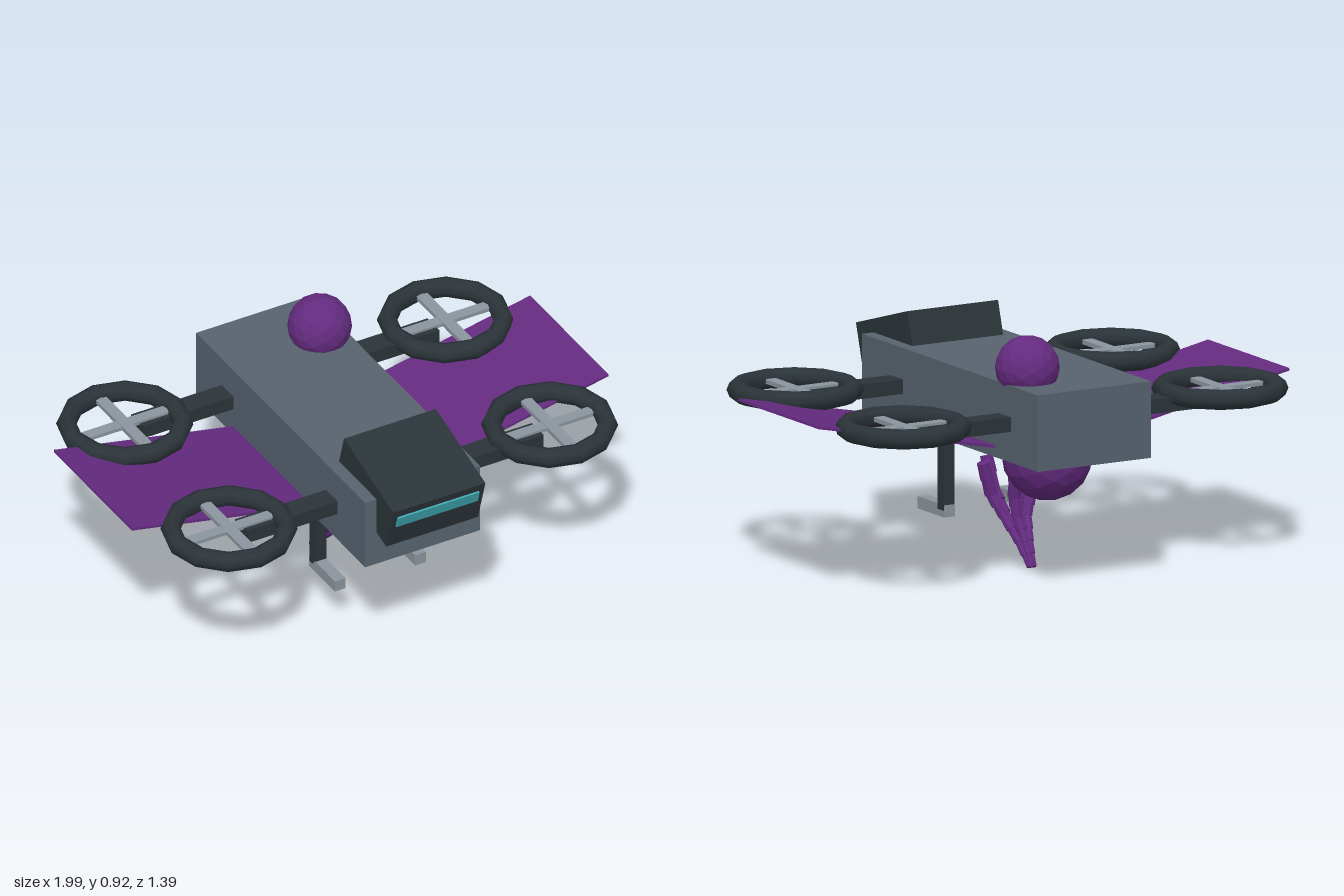
import * as THREE from 'three';

const mat = (name, color, extra = {}) => {
  const m = new THREE.MeshStandardMaterial({ color, ...extra });
  m.name = name;
  return m;
};

export function createModel() {
  const slate = mat('slate hull', 0x57636f);
  const dark = mat('dark metal', 0x2b3439);
  const grey = mat('light grey', 0x8b959d);
  const cyan = mat('cyan visor', 0x3fa7b0);
  const purple = mat('purple', 0x642b80, { flatShading: true });
  const model = new THREE.Group();
  model.name = 'drone';

  const add = (name, geo, material, x, y, z, parent = model) => {
    const m = new THREE.Mesh(geo, material);
    m.name = name;
    m.position.set(x, y, z);
    parent.add(m);
    return m;
  };
  const box = (w, h, d) => new THREE.BoxGeometry(w, h, d);

  // Hull
  add('hull', box(0.48, 0.285, 1.245), slate, 0, 0.605, -0.05);

  // Tilted head with visor
  const head = new THREE.Group();
  head.name = 'head';
  head.position.set(0, 0.725, 0.487);
  head.rotation.x = 0.29;
  model.add(head);
  add('headBox', box(0.384, 0.19, 0.38), dark, 0, 0, 0, head);
  add('visor', box(0.34, 0.048, 0.009), cyan, 0, 0.037, 0.193, head);

  // Rotor arms, guard rings and crossed blades
  const ring = new THREE.TorusGeometry(0.212, 0.0375, 8, 12).rotateX(Math.PI / 2);
  for (const s of [-1, 1]) {
    for (const z of [-0.44, 0.327]) {
      add('rotorArm', box(0.42, 0.054, 0.087), dark, s * 0.41, 0.604, z);
      const rotor = new THREE.Group();
      rotor.name = 'rotor';
      rotor.position.set(s * 0.67, 0.633, z);
      model.add(rotor);
      add('guardRing', ring, dark, 0, 0, 0, rotor);
      add('bladeAcross', box(0.39, 0.014, 0.045), grey, 0, 0, 0, rotor);
      add('bladeAlong', box(0.045, 0.016, 0.39), grey, 0, 0, 0, rotor);
    }

    // Upswept wing
    const wing = add('wing', box(0.762, 0.01, 0.575), purple, s * 0.622, 0.581, -0.1);
    wing.rotation.z = s * 0.2;

    // Leg and foot
    add('leg', box(0.045, 0.31, 0.045), dark, s * 0.168, 0.33, 0.097);
    add('foot', box(0.045, 0.045, 0.19), grey, s * 0.168, 0.173, 0.167);
  }

  // Growths above and below the hull
  add('topGrowth', new THREE.IcosahedronGeometry(0.118, 2), purple, 0.14, 0.797, -0.432);
  add('bellyGrowth', new THREE.IcosahedronGeometry(0.166, 2), purple, 0, 0.437, -0.338);

  // Five segmented tendrils converging on one tip: [y, ring radius, centre z, thickness]
  const levels = [
    [0.37, 0.11, -0.07, 0.027],
    [0.255, 0.078, -0.07, 0.024],
    [0.175, 0.045, -0.105, 0.019],
    [0.09, 0.022, -0.17, 0.014],
    [0.005, 0.008, -0.226, 0.009],
  ];
  const up = new THREE.Vector3(0, 1, 0);
  for (let i = 0; i < 5; i++) {
    const a = (i / 5) * Math.PI * 2;
    const pts = levels.map(([y, r, z]) => new THREE.Vector3(r * Math.cos(a), y, z + r * Math.sin(a)));
    const tendril = new THREE.Group();
    tendril.name = 'tendril';
    model.add(tendril);
    for (let j = 0; j < 4; j++) {
      // Two links per span, each a little thinner than the one before
      for (let k = 0; k < 2; k++) {
        const p = pts[j].clone().lerp(pts[j + 1], k / 2);
        const q = pts[j].clone().lerp(pts[j + 1], (k + 1) / 2);
        const r = THREE.MathUtils.lerp(levels[j][3], levels[j + 1][3], k / 2);
        const dir = p.clone().sub(q);
        const c = p.clone().add(q).multiplyScalar(0.5);
        const link = add('tendrilLink', new THREE.CylinderGeometry(r * 0.9, r, dir.length() * 1.1, 8),
          purple, c.x, c.y, c.z, tendril);
        link.quaternion.setFromUnitVectors(up, dir.normalize());
      }
    }
  }
  return model;
}
